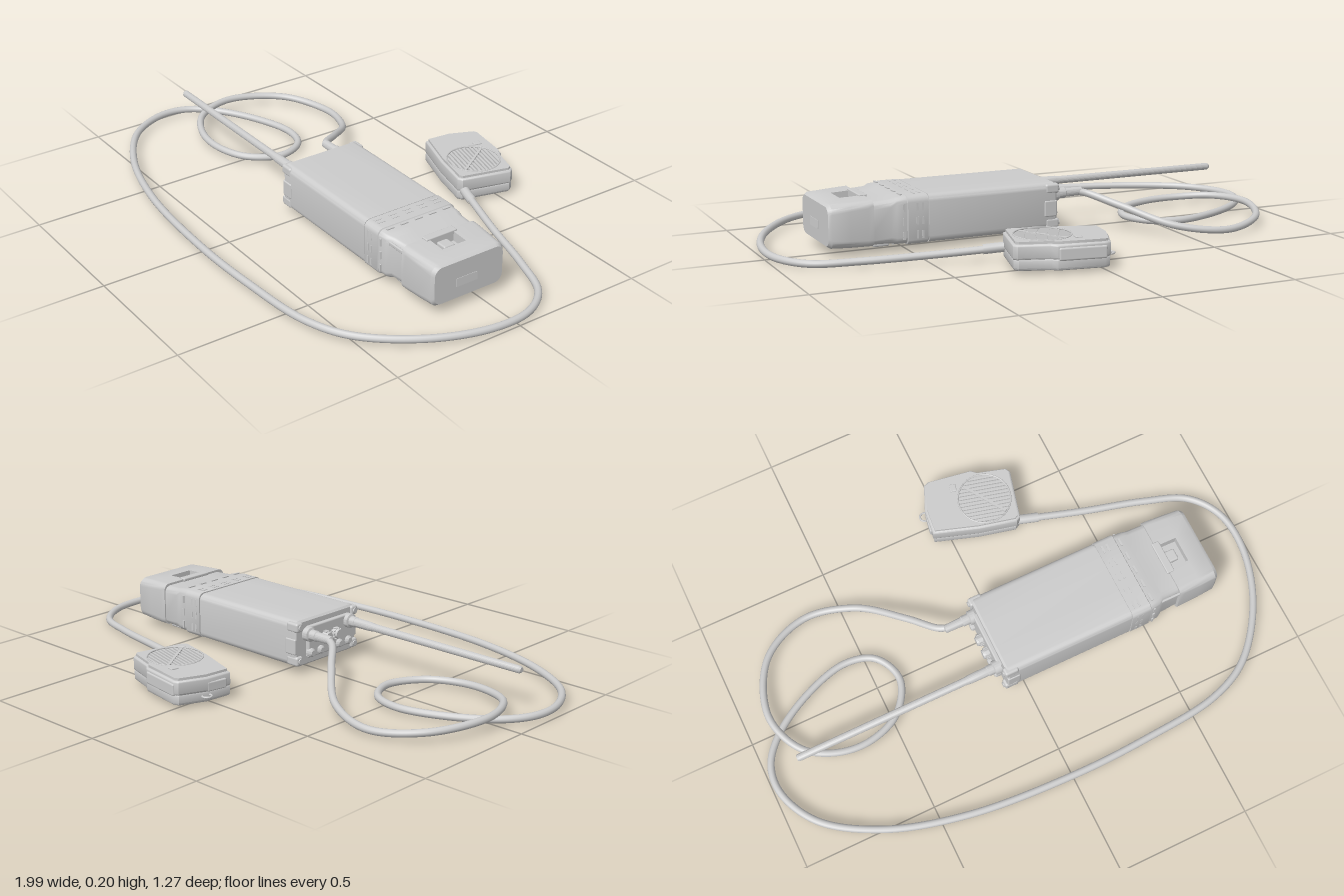
import * as THREE from 'three';
import { toCreasedNormals } from 'three/addons/utils/BufferGeometryUtils.js';
import { RoundedBoxGeometry } from 'three/addons/geometries/RoundedBoxGeometry.js';

const grey = new THREE.MeshStandardMaterial({ color: 0xcccccc });

function add(parent, name, geo, x = 0, y = 0, z = 0) {
  const m = new THREE.Mesh(geo, grey);
  m.name = name;
  m.position.set(x, y, z);
  parent.add(m);
  return m;
}
const box = (p, name, w, h, d, x, y, z, r = 0) =>
  add(p, name, r ? new RoundedBoxGeometry(w, h, d, 2, r) : new THREE.BoxGeometry(w, h, d), x, y, z);

// Turned part lying along -x; profile is [radius, distance]
function turned(p, name, profile, x, y, z, sides = 20) {
  const geo = new THREE.LatheGeometry(profile.map(([r, d]) => new THREE.Vector2(r, d)), sides);
  return add(p, name, toCreasedNormals(geo.rotateZ(Math.PI / 2), 0.6), x, y, z);
}
function tube(p, name, pts, radius, segs) {
  const curve = new THREE.CatmullRomCurve3(pts.map(a => new THREE.Vector3(...a)));
  return add(p, name, new THREE.TubeGeometry(curve, segs, radius, 12));
}

// Rounded-rectangle sections [x, y0, y1, z0, z1, r, notchDepth] joined along x
function loft(sections) {
  const rings = sections.map(([x, y0, y1, z0, z1, r, notch = 0]) => {
    const ring = [];
    const corner = (z, y, start) => {
      for (let i = 0; i <= 5; i++) {
        const t = start + i / 5 * Math.PI / 2;
        ring.push([x, y + r * Math.sin(t), z - r * Math.cos(t)]);
      }
    };
    corner(z0 + r, y0 + r, -Math.PI / 2);
    corner(z0 + r, y1 - r, 0);
    ring.push([x, y1, 0.01], [x, y1 - notch, 0.01], [x, y1 - notch, 0.11], [x, y1, 0.11]);
    corner(z1 - r, y1 - r, Math.PI / 2);
    corner(z1 - r, y0 + r, Math.PI);
    return ring;
  });
  const pos = [], n = rings[0].length, last = rings.length - 1;
  const tri = (...p) => p.forEach(v => pos.push(...v));
  const mid = ([x, y0, y1, z0, z1]) => [x, (y0 + y1) / 2, (z0 + z1) / 2];
  for (let j = 0; j < n; j++) {
    const k = (j + 1) % n;
    for (let i = 0; i < last; i++) {
      const A = rings[i], B = rings[i + 1];
      tri(A[j], A[k], B[j]);
      tri(A[k], B[k], B[j]);
    }
    tri(mid(sections[0]), rings[0][k], rings[0][j]);
    tri(mid(sections[last]), rings[last][j], rings[last][k]);
  }
  const geo = new THREE.BufferGeometry();
  geo.setAttribute('position', new THREE.Float32BufferAttribute(pos, 3));
  return toCreasedNormals(geo, 0.6);
}

function makeHandset() {
  const g = new THREE.Group();
  g.name = 'handset';
  add(g, 'mainBody', loft([
    [-0.07, 0.032, 0.193, -0.1, 0.213, 0.022], [-0.062, 0.025, 0.2, -0.105, 0.22, 0.025],
    [0.43, 0.025, 0.2, -0.105, 0.22, 0.025]]));
  add(g, 'collar', loft([
    [0.428, 0.028, 0.197, -0.102, 0.217, 0.024], [0.435, 0.028, 0.197, -0.102, 0.217, 0.024],
    [0.435, 0.024, 0.202, -0.107, 0.222, 0.025], [0.51, 0.024, 0.202, -0.107, 0.222, 0.025],
    [0.512, 0.028, 0.199, -0.104, 0.219, 0.025], [0.55, 0.028, 0.196, -0.103, 0.217, 0.025],
    [0.57, 0.032, 0.19, -0.1, 0.205, 0.025], [0.65, 0.034, 0.186, -0.098, 0.2, 0.025]]));
  // Battery cap with a latch recess cut into its top
  add(g, 'batteryCap', loft([
    [0.635, 0.03, 0.195, -0.103, 0.213, 0.025], [0.655, 0.03, 0.194, -0.103, 0.213, 0.025],
    [0.655, 0.03, 0.194, -0.103, 0.213, 0.025, 0.035], [0.72, 0.03, 0.191, -0.1, 0.211, 0.028, 0.035],
    [0.72, 0.03, 0.191, -0.1, 0.211, 0.028], [0.785, 0.032, 0.188, -0.096, 0.208, 0.032],
    [0.797, 0.04, 0.18, -0.088, 0.2, 0.03]]));
  box(g, 'latchTongue', 0.045, 0.022, 0.045, 0.675, 0.167, 0.06, 0.006);
  box(g, 'latchBridge', 0.03, 0.012, 0.13, 0.64, 0.194, 0.06, 0.004);
  box(g, 'endPlate', 0.004, 0.03, 0.09, 0.7975, 0.1, 0.065).rotation.z = 0.06;

  // Seam ribs around the collar
  for (const x of [0.455, 0.475, 0.525]) for (let i = 0; i < 5; i++) {
    box(g, 'topRib', 0.008, 0.004, 0.03, x, 0.2015, -0.06 + i * 0.06);
    if (i < 3) for (const z of [-0.1055, 0.2205])
      box(g, 'sideRib', 0.008, 0.028, 0.005, x, 0.06 + i * 0.05, z);
  }
  box(g, 'frontStrip', 0.1, 0.014, 0.01, 0.59, 0.17, 0.206, 0.004);

  // Underside ribs and charging socket
  box(g, 'bottomPanel', 0.06, 0.016, 0.26, 0.6, 0.03, 0.055, 0.005);
  for (let i = 0; i < 6; i++) box(g, 'bottomRib', 0.06, 0.008, 0.012, 0.52, 0.024, -0.045 + i * 0.04);
  for (const s of [-1, 1]) {
    box(g, 'socketRim', 0.06, 0.008, 0.008, 0.71, 0.028, 0.06 + s * 0.035);
    box(g, 'socketRim', 0.008, 0.008, 0.078, 0.71 + s * 0.028, 0.028, 0.06);
  }

  // Connector panel: corner lugs, raised plate, knobs
  box(g, 'connectorPlate', 0.02, 0.12, 0.22, -0.075, 0.115, 0.06, 0.006);
  for (const z of [-0.09, 0.205]) for (const y of [0.05, 0.178]) {
    box(g, 'cornerLug', 0.055, 0.036, 0.034, -0.052, y, z, 0.009);
    turned(g, 'lugScrew', [[0, 0], [0.01, 0], [0.01, 0.012], [0, 0.012]], -0.072, y, z, 12);
  }
  for (const z of [-0.1, 0.216]) box(g, 'sideBracket', 0.05, 0.06, 0.016, -0.045, 0.105, z, 0.005);
  [[0.035, 0.12], [0.09, 0.12]].forEach(([z, y]) => {
    turned(g, 'knob', [[0, 0], [0.02, 0], [0.02, 0.02], [0.017, 0.035], [0, 0.035]], -0.075, y, z);
    for (let i = 0; i < 10; i++) {
      const t = i / 10 * Math.PI * 2;
      box(g, 'knobGrip', 0.022, 0.006, 0.006, -0.09, y + Math.sin(t) * 0.02, z + Math.cos(t) * 0.02)
        .rotation.x = -t;
    }
  });
  for (const z of [-0.04, 0.01, 0.11, 0.16])
    turned(g, 'lowerPlug', [[0, 0], [0.016, 0], [0.016, 0.018], [0.01, 0.024], [0, 0.024]], -0.075, 0.075, z, 12);

  // Antenna and cable plug
  turned(g, 'antenna', [[0, 0], [0.027, 0], [0.027, 0.025], [0.02, 0.028], [0.02, 0.05], [0.018, 0.052],
    [0.017, 0.12], [0.0145, 0.14], [0.0135, 0.793], [0.009, 0.8], [0, 0.8]], -0.075, 0.15, 0.163);
  turned(g, 'cablePlug', [[0, 0], [0.027, 0], [0.027, 0.022], [0.02, 0.025], [0.02, 0.05], [0.017, 0.053],
    [0.0155, 0.12], [0, 0.125]], -0.075, 0.148, -0.05);
  return g;
}

function makeSpeakerMic() {
  const g = new THREE.Group();
  g.name = 'speakerMicrophone';
  const outline = [[-0.062, -0.435], [-0.052, -0.53], [-0.012, -0.624], [0.004, -0.63], [0.17, -0.603],
    [0.19, -0.585], [0.296, -0.553], [0.304, -0.54], [0.256, -0.355], [0.242, -0.347], [0.1, -0.381]];
  const cx = 0.168, cz = -0.475, R = 0.1;
  const shape = (k, hole) => {
    const s = new THREE.Shape(outline.map(([x, z]) =>
      new THREE.Vector2(0.12 + (x - 0.12) * k, 0.49 + (-z - 0.49) * k)));
    if (hole) s.holes.push(new THREE.Path().absarc(cx, -cz, R, 0, Math.PI * 2, true));
    return s;
  };
  const slab = (name, k, y, depth, bevel, hole) => {
    const geo = new THREE.ExtrudeGeometry(shape(k, hole), { depth, curveSegments: 24, bevelEnabled: bevel > 0,
      bevelSize: bevel, bevelThickness: bevel, bevelSegments: 3 });
    return add(g, name, toCreasedNormals(geo.rotateX(-Math.PI / 2), 0.6), 0, y, 0);
  };
  slab('rearShell', 0.95, 0.02, 0.025, 0.01);
  slab('frontShell', 0.975, 0.055, 0.038, 0.008);
  slab('grilleFace', 0.97, 0.1, 0.01, 0, true);

  // Grille slats, ring and diagonal bar
  const grille = new THREE.Group();
  grille.name = 'grille';
  grille.position.set(cx, 0.105, cz);
  grille.rotation.y = -0.25;
  g.add(grille);
  for (let i = -6; i <= 6; i++) {
    const z = i * 0.0145;
    box(grille, 'slat', 2 * Math.sqrt(R * R - z * z), 0.007, 0.007, 0, 0, z);
  }
  box(grille, 'diagonalBar', 0.19, 0.009, 0.009, 0, 0.001, 0).rotation.y = -0.75;
  add(grille, 'grilleRing', new THREE.TorusGeometry(R, 0.003, 6, 40).rotateX(Math.PI / 2), 0, 0.005, 0);

  box(g, 'indicator', 0.025, 0.008, 0.03, 0.078, 0.111, -0.565, 0.003).rotation.y = -0.2;
  box(g, 'talkButton', 0.17, 0.046, 0.016, 0.085, 0.067, -0.618, 0.007).rotation.y = -0.16;
  // Side jack cover and hanging loop
  box(g, 'jackCover', 0.012, 0.035, 0.08, -0.058, 0.065, -0.49, 0.005).rotation.y = -0.18;
  const loop = add(g, 'hangingLoop', new THREE.TorusGeometry(0.017, 0.004, 8, 20), -0.058, 0.035, -0.535);
  loop.rotation.x = Math.PI / 2;
  // Back screws and clip stud
  for (const [x, z] of [[0, -0.57], [-0.02, -0.45], [0.25, -0.53], [0.22, -0.38]])
    add(g, 'backScrew', new THREE.CylinderGeometry(0.01, 0.01, 0.006, 12), x, 0.01, z);
  add(g, 'clipStud', new THREE.CylinderGeometry(0.022, 0.018, 0.012, 20), 0.12, 0.008, -0.49);
  tube(g, 'strainRelief', [[0.235, 0.052, -0.372], [0.27, 0.049, -0.36], [0.33, 0.044, -0.343]], 0.018, 8);
  return g;
}

export function createModel() {
  const model = new THREE.Group();
  model.name = 'radioWithSpeakerMicrophone';
  model.add(makeHandset(), makeSpeakerMic());
  // Coiled cable from the plug round the handset to the microphone
  tube(model, 'cable', [
    [-0.18, 0.148, -0.05], [-0.215, 0.14, -0.068], [-0.3, 0.105, -0.165], [-0.45, 0.045, -0.308],
    [-0.64, 0.022, -0.36], [-0.82, 0.035, -0.27], [-0.905, 0.048, -0.06], [-0.85, 0.045, 0.1],
    [-0.74, 0.036, 0.17], [-0.61, 0.03, 0.183], [-0.48, 0.025, 0.13], [-0.412, 0.022, 0.01],
    [-0.46, 0.02, -0.1], [-0.57, 0.018, -0.133], [-0.74, 0.018, -0.085], [-0.9, 0.02, 0.015],
    [-0.97, 0.024, 0.11], [-0.978, 0.026, 0.22], [-0.9, 0.026, 0.37], [-0.7, 0.025, 0.5],
    [-0.4, 0.025, 0.585], [0, 0.024, 0.617], [0.3, 0.024, 0.61], [0.6, 0.024, 0.577],
    [0.76, 0.023, 0.5], [0.91, 0.021, 0.31], [0.98, 0.018, 0.1], [0.97, 0.015, -0.06],
    [0.89, 0.0135, -0.173], [0.73, 0.02, -0.235], [0.5, 0.031, -0.295], [0.3, 0.045, -0.352]], 0.0135, 420);
  return model;
}
